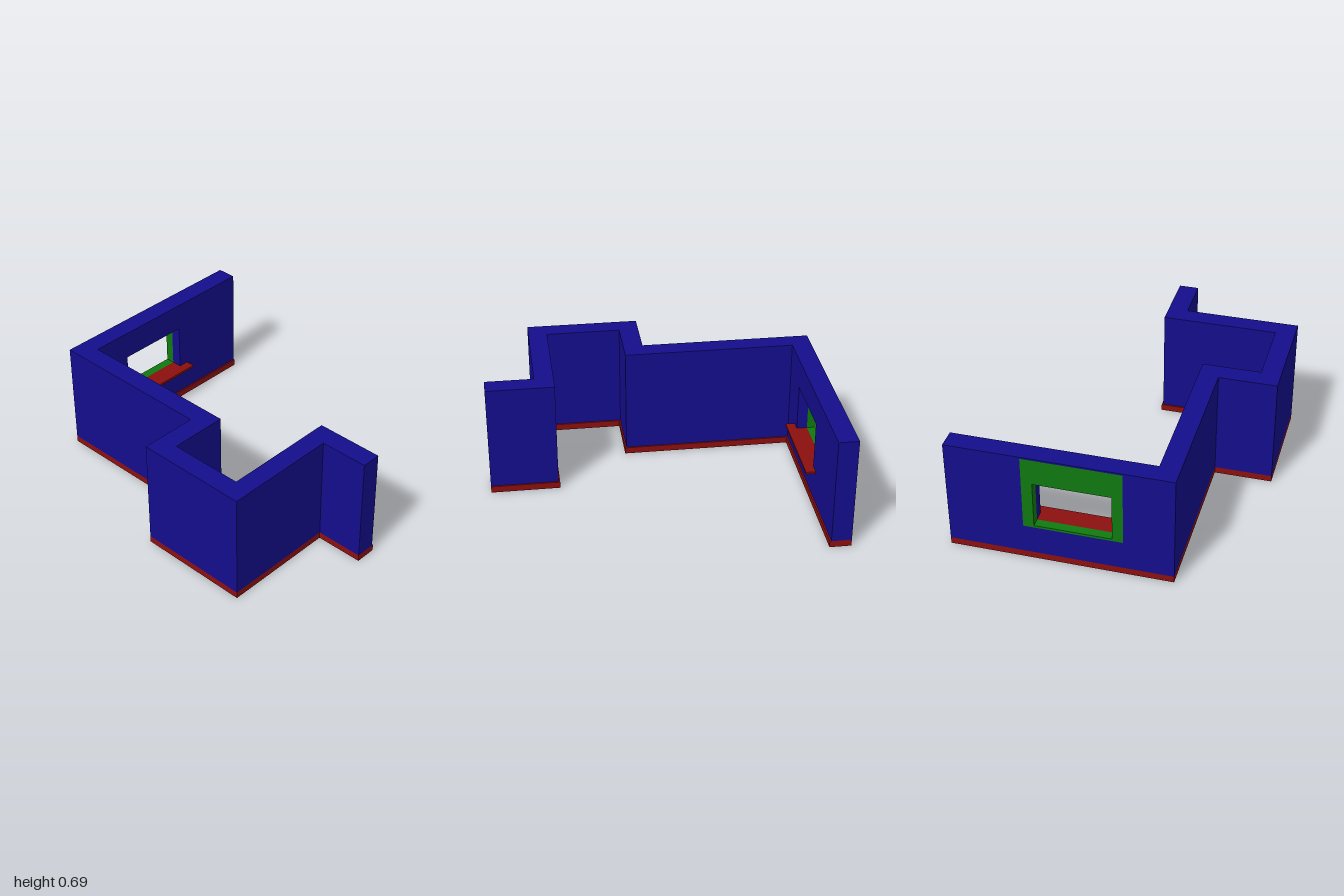
import * as THREE from 'three';

const BLUE = 0x140d8c, RED = 0x8c0f0f, GREEN = 0x0f7a0f;
const material = (color) => new THREE.MeshStandardMaterial({ color, flatShading: true });
const blue = material(BLUE), red = material(RED), green = material(GREEN);

const toPoints = (list) => list.map(([a, b]) => new THREE.Vector2(a, b));
const rect = (a0, a1, b0, b1) => [[a0, b0], [a1, b0], [a1, b1], [a0, b1]];

// Plan outline in (x, z), raised from y0 to y1
function planPart(name, outline, y0, y1, mat) {
  const geo = new THREE.ExtrudeGeometry(new THREE.Shape(toPoints(outline)), { depth: y1 - y0, bevelEnabled: false });
  geo.rotateX(Math.PI / 2).translate(0, y1, 0);
  const mesh = new THREE.Mesh(geo, mat);
  mesh.name = name;
  return mesh;
}

// Side outline in (z, y) with one hole, spanning x0 to x1
function sidePart(name, outline, hole, x0, x1, mat) {
  const shape = new THREE.Shape(toPoints(outline));
  shape.holes.push(new THREE.Path(toPoints(hole)));
  const geo = new THREE.ExtrudeGeometry(shape, { depth: x1 - x0, bevelEnabled: false });
  geo.rotateY(-Math.PI / 2).translate(x1, 0, 0);
  const mesh = new THREE.Mesh(geo, mat);
  mesh.name = name;
  return mesh;
}

// Room-side edge of the walls from the far right end to the inner corner;
// s pushes it into the room
const innerEdge = (s) => [
  [1, 0.012 - s], [0.595 - s, 0.012 - s], [0.595 - s, 0.702 - s],
  [0.145 + s, 0.702 - s], [0.145 + s, 0.356 - s], [-0.882 + s, 0.356 - s],
];
const outerEdge = [[0.026, 0.475], [0.026, 0.82], [0.71, 0.82], [0.71, 0.13], [1, 0.13]];

export function createModel() {
  const model = new THREE.Group();
  model.name = 'wallSection';

  const base = 0.04, top = 0.685, back = -0.82;
  const outside = -1, frameIn = -0.945, inside = -0.882;
  const sillLow = 0.217, sillTop = 0.231;

  // Skirting course under all walls, standing proud on the room side
  const lip = 0.009;
  model.add(planPart('baseCourse',
    [[outside, back], [outside, 0.475], ...outerEdge, ...innerEdge(lip), [inside + lip, back]],
    0, base, red));

  // Stepped front wall with the bay
  model.add(planPart('bayWall',
    [[outside, 0.356], [outside, 0.475], ...outerEdge, ...innerEdge(0)],
    base, top, blue));

  // Window wall: inner layer with the opening, outer layer with the larger rebate
  const wall = rect(back, 0.356, base, top);
  const opening = rect(-0.32, 0.125, sillLow, 0.515);
  const rebate = rect(-0.383, 0.187, sillLow, 0.675);
  model.add(sidePart('windowWallInner', wall, opening, frameIn, inside, blue));
  model.add(sidePart('windowWallOuter', wall, rebate, outside, frameIn, blue));

  // Window frame with shutter box, filling the rebate
  model.add(sidePart('windowFrame', rebate, rect(-0.32, 0.125, sillTop, 0.515), outside, frameIn, green));

  // T-shaped window board with horns on the room side
  const board = -0.825;
  model.add(planPart('windowSill', [
    [frameIn, -0.32], [inside, -0.32], [inside, -0.383], [board, -0.383],
    [board, 0.187], [inside, 0.187], [inside, 0.125], [frameIn, 0.125],
  ], sillLow, sillTop, red));

  return model;
}
